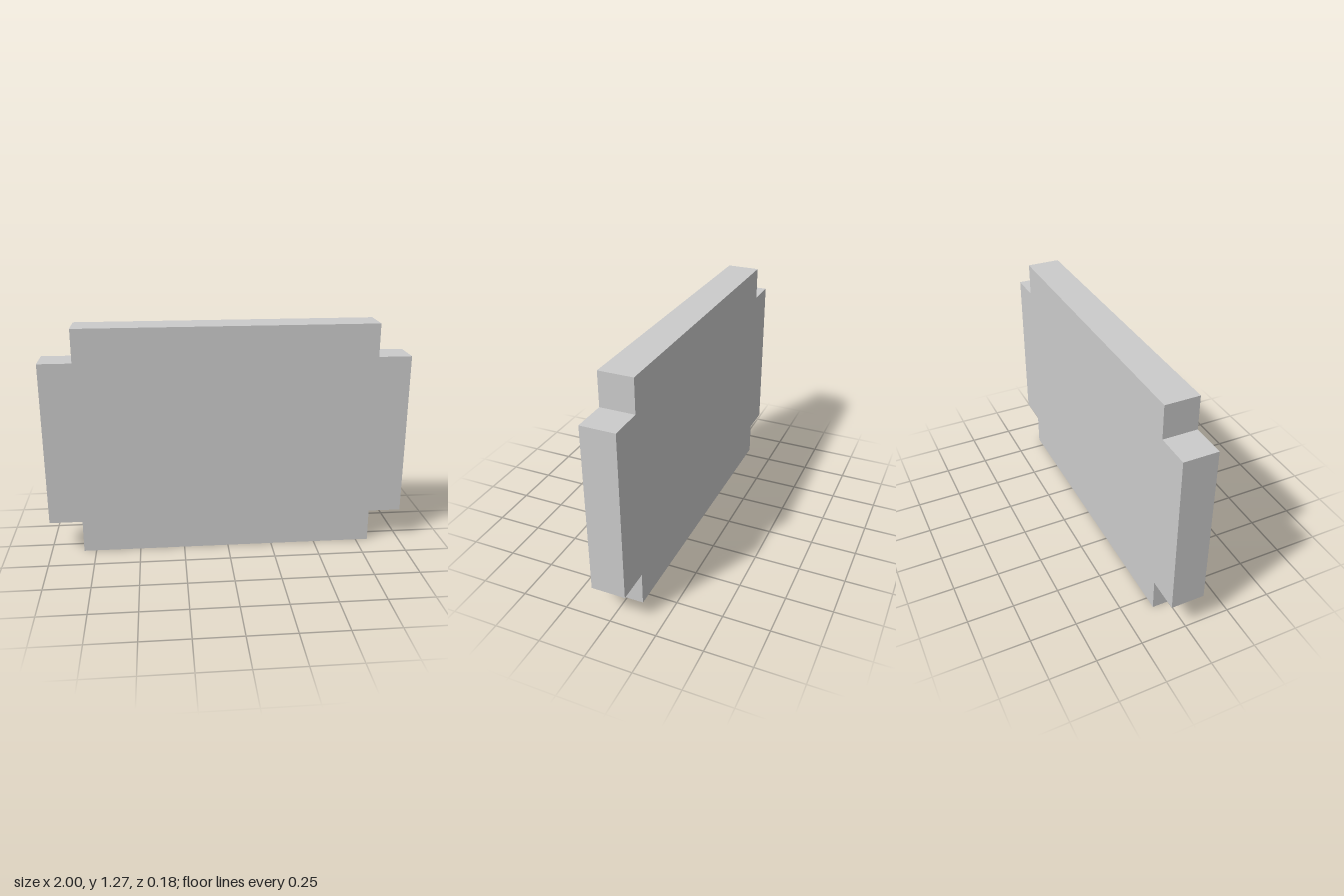
import * as THREE from 'three';

// The panel sits on a grid 11 units wide and 7 high; it is one unit thick.
const UNIT = 2 / 11;
const HALF_WIDTH = 1;
const HEIGHT = 7 * UNIT;

// Rectangle with a square notch cut from each corner
function notchedOutline(halfWidth, height, notch) {
  const inner = halfWidth - notch;
  const rightSide = [
    [inner, 0],
    [inner, notch],
    [halfWidth, notch],
    [halfWidth, height - notch],
    [inner, height - notch],
    [inner, height],
  ];
  const leftSide = rightSide.map(([x, y]) => [-x, y]).reverse();
  return new THREE.Shape([...rightSide, ...leftSide].map(([x, y]) => new THREE.Vector2(x, y)));
}

export function createModel() {
  const group = new THREE.Group();
  group.name = 'notchedPanel';

  // Flat slab, centred in depth
  const geometry = new THREE.ExtrudeGeometry(notchedOutline(HALF_WIDTH, HEIGHT, UNIT), {
    depth: UNIT,
    bevelEnabled: false,
  });
  geometry.translate(0, 0, -UNIT / 2);

  const material = new THREE.MeshStandardMaterial({ color: 0xcccccc, flatShading: true });
  const panel = new THREE.Mesh(geometry, material);
  panel.name = 'panel';
  group.add(panel);

  return group;
}
